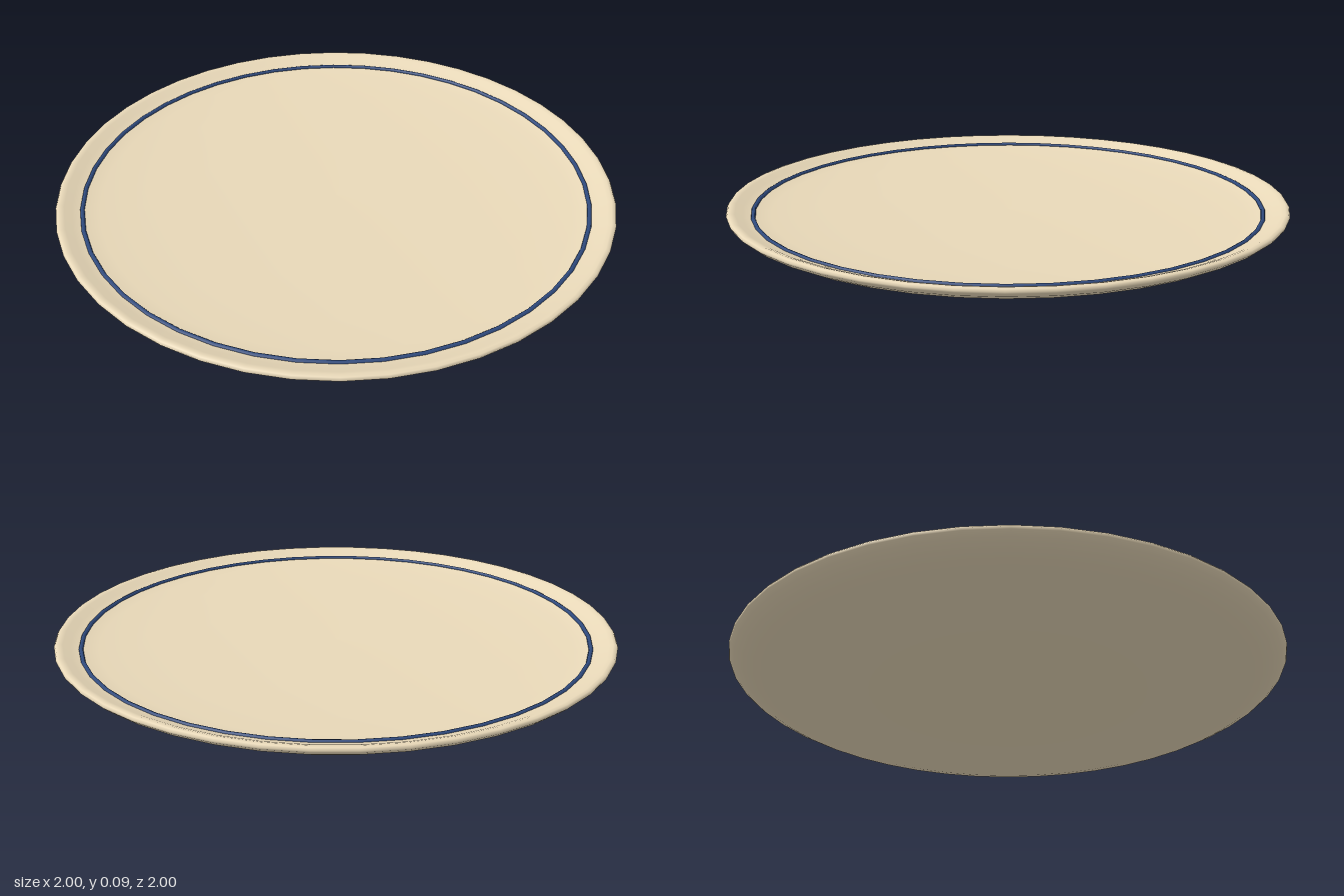
import * as THREE from 'three';

const SEGMENTS = 44;

export function createModel() {
  const group = new THREE.Group();
  group.name = 'plate';

  // Dish: one closed profile, from the underside out over the lip to the inner centre
  const profile = [
    [0, 0], [0.3, 0.002], [0.6, 0.007], [0.8, 0.013], [0.88, 0.02], [0.94, 0.035],
    [0.98, 0.056], [0.997, 0.071], [1, 0.078], [0.995, 0.085], [0.984, 0.087],
    [0.97, 0.083], [0.945, 0.072], [0.91, 0.06], [0.85, 0.051], [0.7, 0.041],
    [0.5, 0.033], [0.25, 0.027], [0, 0.025],
  ].map(([r, y]) => new THREE.Vector2(r, y));
  const dish = new THREE.Mesh(
    new THREE.LatheGeometry(profile, SEGMENTS),
    new THREE.MeshStandardMaterial({ color: 0xe8d8b8 })
  );
  dish.name = 'dish';
  group.add(dish);

  // Thin painted band, half sunk into the inner slope
  const band = new THREE.Mesh(
    new THREE.TorusGeometry(0.91, 0.008, 8, SEGMENTS),
    new THREE.MeshStandardMaterial({ color: 0x2f4a7d })
  );
  band.name = 'rimBand';
  band.rotation.x = -Math.PI / 2;
  band.position.y = 0.061;
  group.add(band);

  return group;
}
